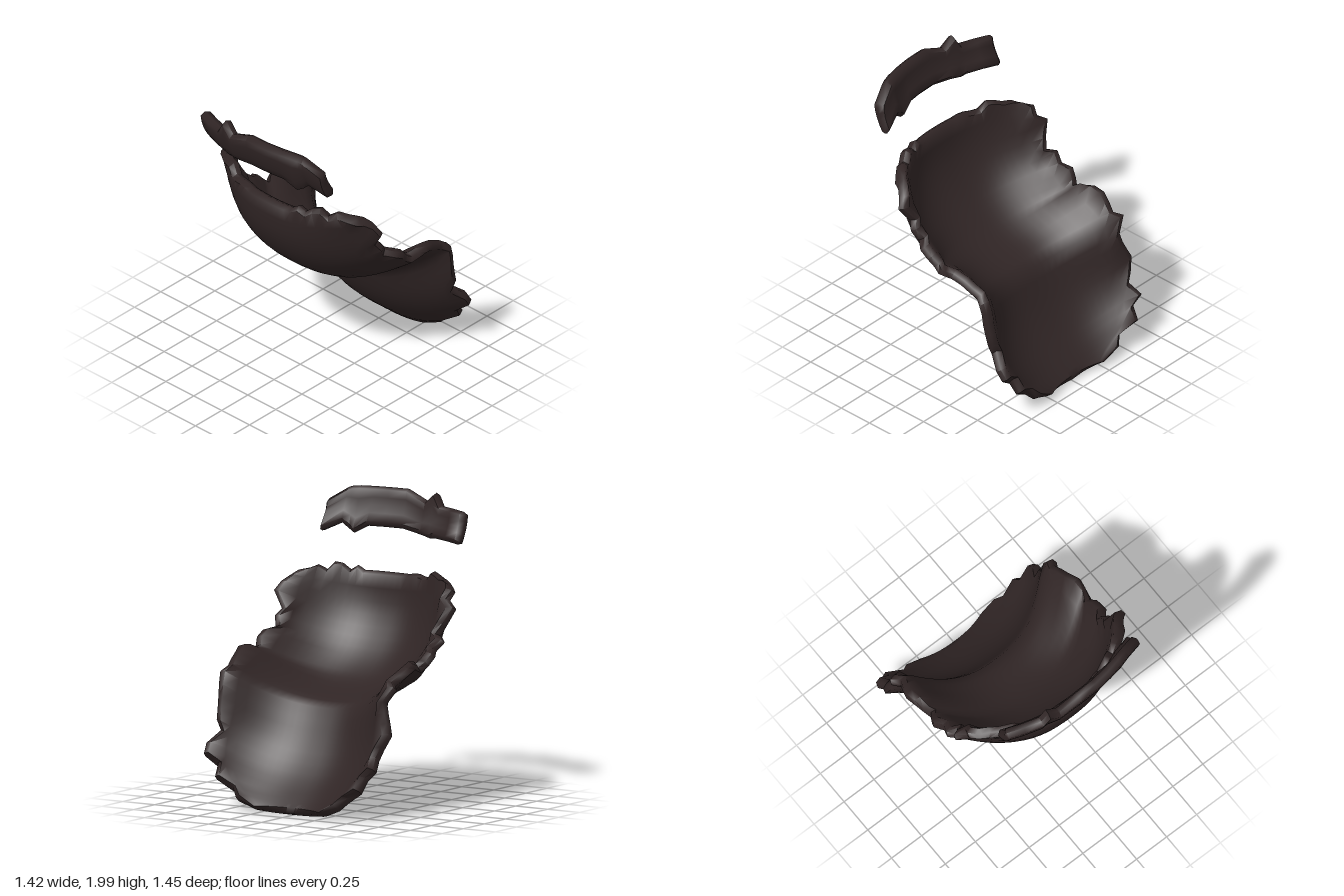
import * as THREE from 'three';
import { toCreasedNormals } from 'three/addons/utils/BufferGeometryUtils.js';

const V = (x, y, z) => new THREE.Vector3(x, y, z);
const THICKNESS = 0.072, BULGE = 0.02;

// Closed thick sheet with a rounded rim, from rows of points (rows run downwards, columns towards +x)
function thickSheet(rows, jag = (p) => p) {
  const R = rows.length, C = rows[0].length, rings = [];
  const at = (j, i) => rows[Math.min(R - 1, Math.max(0, j))][Math.min(C - 1, Math.max(0, i))];
  const rim = (p, q, from) => {
    const mid = p.clone().lerp(q, 0.5);
    return mid.addScaledVector(p.clone().sub(from).normalize(), BULGE);
  };
  // rings: outer face, rim, inner face, rim
  rows.forEach((row, j) => {
    const outer = [], inner = [];
    row.forEach((p, i) => {
      const down = at(j + 1, i).clone().sub(at(j - 1, i));
      const across = at(j, i + 1).clone().sub(at(j, i - 1));
      const n = down.cross(across).normalize();
      const q = jag(p.clone(), j, i);
      outer.push(q);
      inner.push(q.clone().addScaledVector(n, -THICKNESS));
    });
    const last = rim(outer[C - 1], inner[C - 1], outer[C - 2]);
    const first = rim(outer[0], inner[0], outer[1]);
    rings.push([...outer, last, ...inner.reverse(), first]);
  });
  // end rings folded flat to close the sheet
  const M = 2 * C + 2;
  const cap = (ring, next) => {
    const mids = [];
    for (let i = 0; i < C; i++) mids.push(rim(ring[i], ring[M - 2 - i], next[i]));
    return [...mids, mids[C - 1], ...mids.slice().reverse(), mids[0]];
  };
  const all = [cap(rings[0], rings[1]), ...rings, cap(rings[R - 1], rings[R - 2])];
  const idx = [];
  for (let j = 0; j < all.length - 1; j++) for (let k = 0; k < M; k++) {
    const a = j * M + k, c = j * M + (k + 1) % M;
    idx.push(a, a + M, c, c, a + M, c + M);
  }
  const g = new THREE.BufferGeometry().setFromPoints(all.flat());
  g.setIndex(idx);
  return toCreasedNormals(g, 1.1);
}

// Two scooped lobes meeting at a fold
function shellGeometry() {
  const line = (pts) => new THREE.CatmullRomCurve3(pts.map(([z, y, x = 0]) => V(x, y, z)));
  const upper = line([[0.582, 1.455], [0.565, 1.25], [0.5, 1.075], [0.405, 0.935], [0.305, 0.835],
    [0.18, 0.745], [0.04, 0.685], [-0.09, 0.65], [-0.17, 0.62]]);
  const lower = line([[-0.17, 0.62], [-0.225, 0.49], [-0.3, 0.345], [-0.4, 0.212], [-0.49, 0.122],
    [-0.56, 0.06], [-0.615, 0.01]]);
  const edge = line([[0.36, 1.44, 0.61], [0.27, 1.37, 0.65], [0.21, 1.22, 0.66], [0.13, 1.1, 0.66],
    [0, 1.02, 0.67], [-0.09, 0.945, 0.67], [-0.22, 0.97, 0.67], [-0.35, 0.92, 0.67],
    [-0.45, 0.855, 0.66], [-0.475, 0.71, 0.65], [-0.51, 0.56, 0.66], [-0.575, 0.41, 0.65],
    [-0.64, 0.28, 0.6], [-0.655, 0.13, 0.47], [-0.645, 0.025, 0.27]]);
  const J = 28, N = 24, rows = [];
  for (let j = 0; j <= J; j++) {
    const c = j <= 16 ? upper.getPoint(j / 16) : lower.getPoint((j - 16) / 12);
    const e = edge.getPoint(j / J);
    const row = [];
    for (let i = 0; i <= N; i++) {
      const u = (i / N) * 2 - 1, f = Math.abs(u) ** 2.4;
      row.push(V(u * e.x, c.y + (e.y - c.y) * f, c.z + (e.z - c.z) * f));
    }
    rows.push(row);
  }
  // ragged edges, in hundredths
  const right = [0, 2, -1, 5, 0, -3, 3, 0, 3, 1, -2, 0, 2, 3, 1, -1, 4, -2, 0, 2, 4, 0, -2, 3, -1, 3, -2, 2, 0];
  const left = [0, 0, 2, 5, -3, 0, -3, 2, 2, 0, 1, 2, 3, 1, 0, -1, 2, 2, 2, 1, 0, -3, 3, 4, -2, 2, -2, 2, 0];
  const top = [0, 2, 2, 4, 5, 0, 0, 1, 1, 0, 0, 0, 0, 0, 0, 0, 0, 3, 0, 4, 5, 0, 3, 1, -1];
  return thickSheet(rows, (p, j, i) => {
    if (i === 0 || i === N) {
      const s = i ? 1 : -1, d = (i ? left : right)[j] / 100;
      p.x += s * d;
      if (j > 20) p.z -= d * 0.9;
      else p.y += d * 0.4;
    }
    if (j === 0) p.y += (top[i] - 1) / 100;
    return p;
  });
}

// Curved strip floating above: x, top, bottom of each column
function bandGeometry() {
  const cols = [[-0.555, 1.88, 1.7], [-0.45, 1.885, 1.705], [-0.33, 1.89, 1.71], [-0.28, 1.975, 1.71],
    [-0.2, 1.91, 1.72], [-0.04, 1.975, 1.75], [0.1, 1.975, 1.75], [0.22, 1.975, 1.75], [0.32, 1.975, 1.7],
    [0.37, 1.97, 1.73], [0.4, 1.96, 1.76], [0.525, 1.88, 1.7]];
  const rows = [];
  for (let j = 0; j <= 4; j++) {
    const t = j / 4;
    rows.push(cols.map(([x, a, b]) => V(x, a + (b - a) * t,
      0.73 - 0.07 * t + 0.05 * t * (1 - t) - 0.39 * x * x)));
  }
  return thickSheet(rows);
}

export function createModel() {
  const group = new THREE.Group();
  const darkBrown = new THREE.MeshStandardMaterial({ color: 0x302525 });
  darkBrown.name = 'darkBrown';
  const add = (name, geometry) => {
    const mesh = new THREE.Mesh(geometry, darkBrown);
    mesh.name = name;
    group.add(mesh);
  };
  add('foldedShell', shellGeometry());
  add('upperBand', bandGeometry());
  return group;
}
